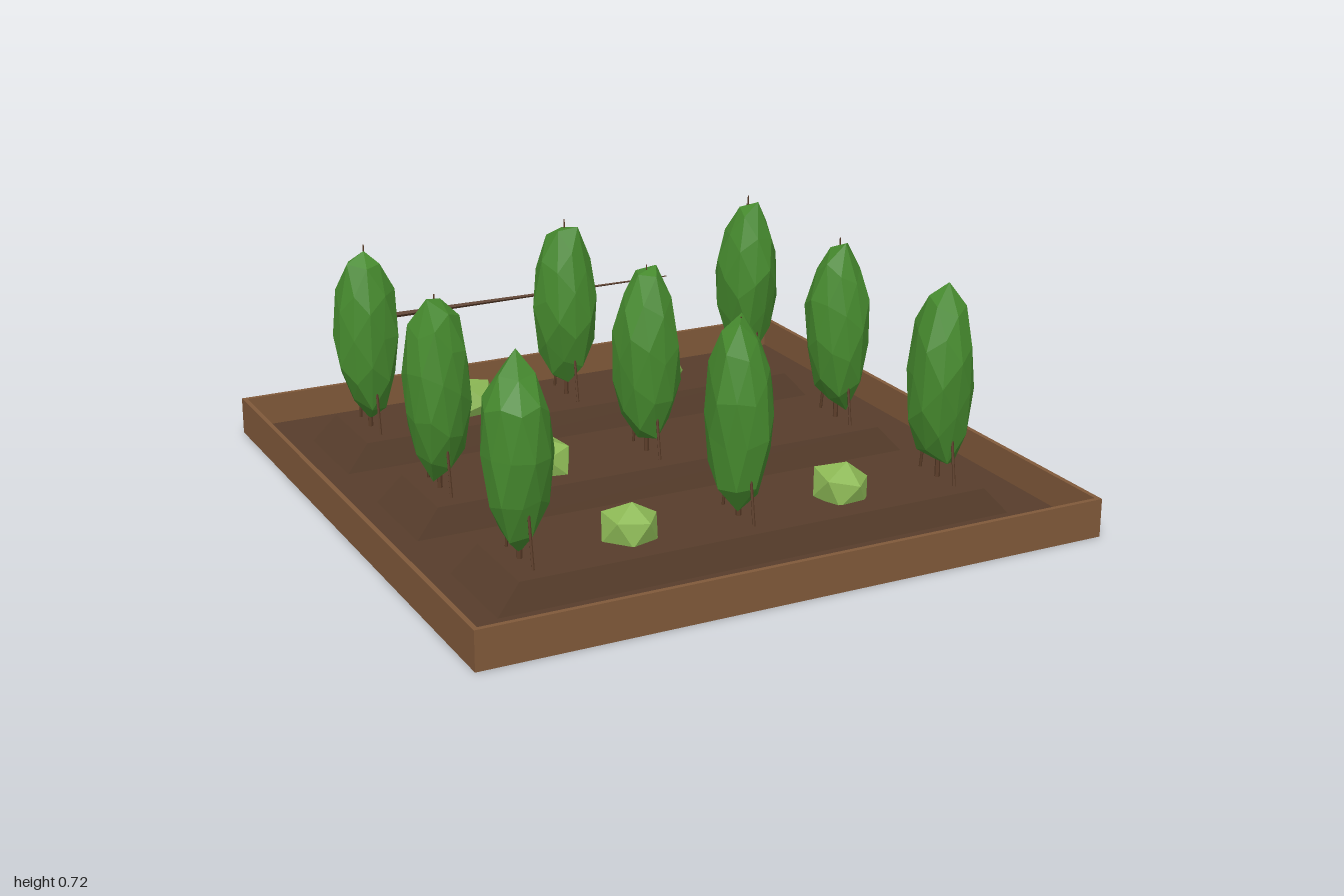
import * as THREE from 'three';
import { mergeVertices } from 'three/addons/utils/BufferGeometryUtils.js';

const paint = (color) => new THREE.MeshStandardMaterial({ color, flatShading: true });
const wood = paint(0x80593a);
const soil = paint(0x573d2b);
const bark = paint(0x5a3c28);
const leaf = paint(0x468a2e);
const shrub = paint(0x8cb855);

// Small seeded generator for the irregular foliage
let seed = 7;
const rand = () => (seed = (seed * 16807) % 2147483647) / 2147483647;

function add(parent, name, geometry, material, x = 0, y = 0, z = 0) {
  const mesh = new THREE.Mesh(geometry, material);
  mesh.name = name;
  mesh.position.set(x, y, z);
  parent.add(mesh);
  return mesh;
}

// Faceted blob: an icosahedron with uneven radii, turned, then stretched
function blob(detail, rx, ry, rough) {
  let g = new THREE.IcosahedronGeometry(1, detail);
  g.deleteAttribute('uv');
  g.deleteAttribute('normal');
  g = mergeVertices(g, 1e-3);
  g.rotateX(rand() * 6).rotateY(rand() * 6);
  const p = g.attributes.position;
  const v = new THREE.Vector3();
  for (let i = 0; i < p.count; i++) {
    v.fromBufferAttribute(p, i).multiplyScalar(1.02 - rough * rand());
    p.setXYZ(i, v.x * rx, v.y * ry, v.z * rx);
  }
  g.computeVertexNormals();
  return g;
}

// Tapered stick between two points
function stick(parent, name, from, to, r0, r1) {
  const a = new THREE.Vector3(...from);
  const d = new THREE.Vector3(...to).sub(a);
  const g = new THREE.CylinderGeometry(r1, r0, d.length(), 5);
  const mesh = add(parent, name, g, bark);
  mesh.position.copy(a).addScaledVector(d, 0.5);
  mesh.quaternion.setFromUnitVectors(new THREE.Vector3(0, 1, 0), d.normalize());
}

// Raised soil bed: a box whose top is drawn in on all sides
function bedGeometry() {
  const g = new THREE.BoxGeometry(1.68, 0.09, 0.34);
  const p = g.attributes.position;
  for (let i = 0; i < p.count; i++) {
    if (p.getY(i) > 0) p.setXYZ(i, p.getX(i) * 0.905, p.getY(i), p.getZ(i) * 0.87);
  }
  g.computeVertexNormals();
  return g;
}

export function createModel() {
  const model = new THREE.Group();
  model.name = 'gardenPlot';

  // Shallow tray with thin walls
  const tray = new THREE.Group();
  tray.name = 'tray';
  model.add(tray);
  add(tray, 'trayBase', new THREE.BoxGeometry(1.98, 0.02, 1.98), soil, 0, 0.01, 0);
  for (const s of [-1, 1]) {
    add(tray, 'longWall', new THREE.BoxGeometry(2, 0.12, 0.015), wood, 0, 0.06, s * 0.9925);
    add(tray, 'sideWall', new THREE.BoxGeometry(0.015, 0.12, 1.97), wood, s * 0.9925, 0.06, 0);
  }

  const bed = bedGeometry();
  for (const z of [-0.6, 0, 0.595]) {
    const row = new THREE.Group();
    row.name = 'plantRow';
    row.position.z = z;
    model.add(row);
    add(row, 'soilBed', bed, soil, 0, 0.06, 0);

    // Tall plants on trunks, each with a pair of leaning stakes
    for (const x of [-0.695, 0, 0.69]) {
      const plant = new THREE.Group();
      plant.name = 'tallPlant';
      plant.position.x = x;
      row.add(plant);
      add(plant, 'foliage', blob(1, 0.111, 0.298, 0.15), leaf, 0, 0.42, 0);
      stick(plant, 'trunk', [0, 0.09, 0], [0, 0.71, 0], 0.009, 0.002);
      for (const s of [-1, 1]) {
        stick(plant, 'stake', [0, 0.09, s * 0.095], [0, 0.68, s * 0.005], 0.005, 0.003);
      }
    }

    // Low shrubs between them
    for (const x of [-0.35, 0.345]) {
      add(row, 'shrub', blob(0, 0.1, 0.085, 0.15), shrub, x, 0.135, 0);
    }
  }

  // Thin rail behind the back row
  stick(model, 'rail', [-0.7, 0.4, -0.8], [0.48, 0.4, -0.8], 0.011, 0.002);
  return model;
}
